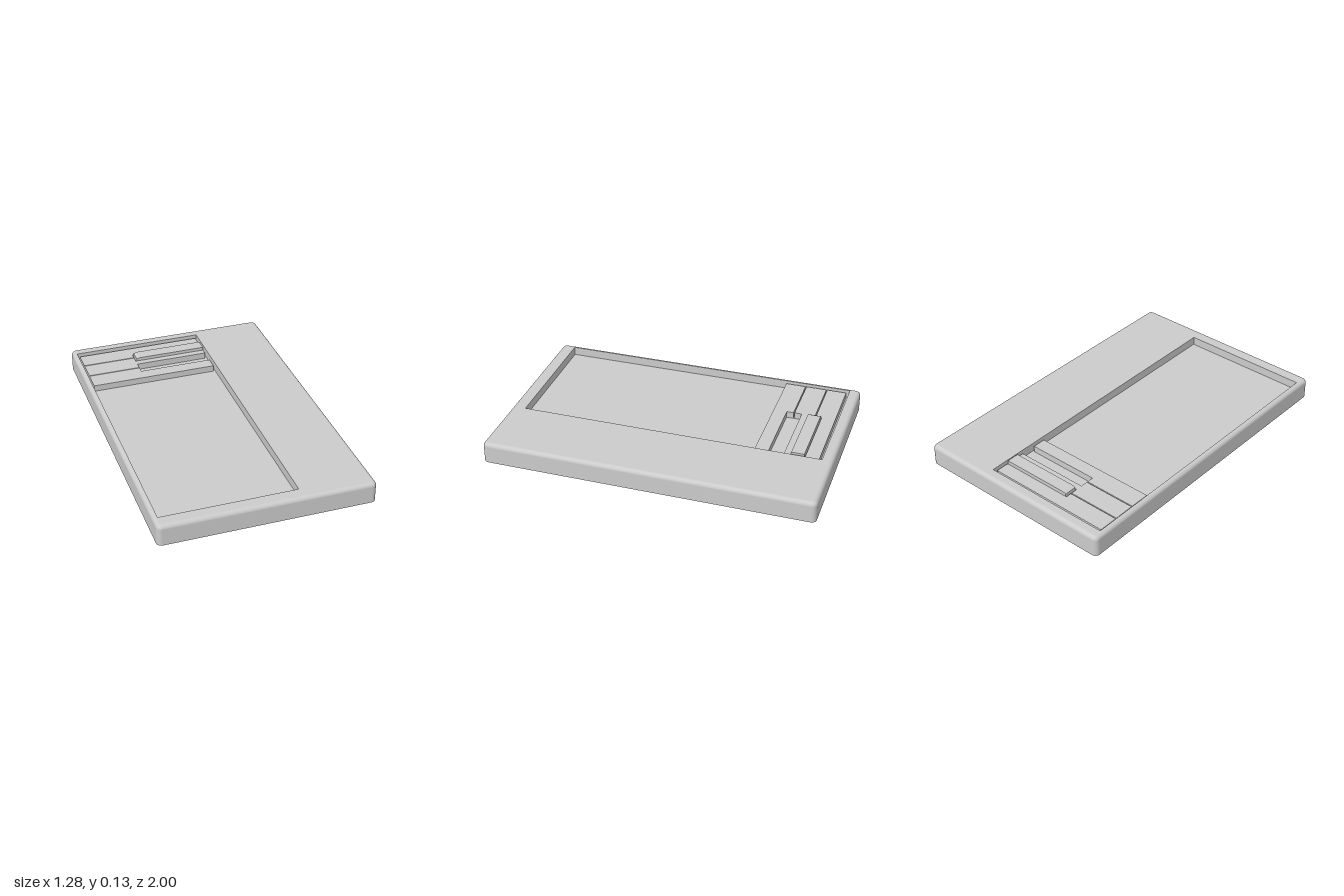
import * as THREE from 'three';

const W = 0.64, D = 1, TOP = 0.128, CORNER = 0.03, FILLET = 0.025;
const FLOOR = 0.075, CARD_TOP = 0.115;
const HOLE = { x0: -0.612, x1: 0.2, z0: -0.933, z1: 0.915 };
const material = new THREE.MeshStandardMaterial({ color: 0xcccccc });

function add(group, name, geometry) {
  const mesh = new THREE.Mesh(geometry, material);
  mesh.name = name;
  group.add(mesh);
  return mesh;
}

// Rounded rectangle as [x, z, nx, nz], pulled inwards by inset
function outline(inset) {
  const points = [], r = CORNER - inset, steps = 6;
  const corners = [[1, 1], [-1, 1], [-1, -1], [1, -1]];
  corners.forEach(([sx, sz], c) => {
    for (let i = 0; i <= steps; i++) {
      const a = (c + i / steps) * Math.PI / 2;
      const nx = Math.cos(a), nz = Math.sin(a);
      points.push([sx * (W - CORNER) + r * nx, sz * (D - CORNER) + r * nz, nx, nz]);
    }
  });
  return points;
}

// Outer side wall with a filleted top edge
function sideGeometry() {
  const rings = [{ inset: 0, y: 0, a: 0 }], steps = 6;
  for (let i = 0; i <= steps; i++) {
    const a = (i / steps) * Math.PI / 2;
    rings.push({ inset: FILLET * (1 - Math.cos(a)), y: TOP - FILLET * (1 - Math.sin(a)), a });
  }
  const positions = [], normals = [], index = [];
  let n = 0;
  rings.forEach(({ inset, y, a }, k) => {
    const loop = outline(inset);
    n = loop.length;
    loop.forEach(([x, z, nx, nz], i) => {
      positions.push(x, y, z);
      normals.push(nx * Math.cos(a), Math.sin(a), nz * Math.cos(a));
      if (k === 0) return;
      const j = (i + 1) % n, lo = (k - 1) * n, hi = k * n;
      index.push(lo + i, hi + i, lo + j, hi + i, hi + j, lo + j);
    });
  });
  const g = new THREE.BufferGeometry();
  g.setAttribute('position', new THREE.Float32BufferAttribute(positions, 3));
  g.setAttribute('normal', new THREE.Float32BufferAttribute(normals, 3));
  g.setIndex(index);
  return g;
}

// Shape from [x, z] points, drawn in the ground plane
const planShape = pts => new THREE.Shape(pts.map(([x, z]) => new THREE.Vector2(x, -z)));

function slab(pts, y0, y1) {
  return new THREE.ExtrudeGeometry(planShape(pts), { depth: y1 - y0, bevelEnabled: false })
    .rotateX(-Math.PI / 2).translate(0, y0, 0);
}

export function createModel() {
  const model = new THREE.Group();
  model.name = 'tray';

  const body = new THREE.Group();
  body.name = 'body';
  model.add(body);
  add(body, 'sides', sideGeometry());
  add(body, 'base', new THREE.ShapeGeometry(planShape(outline(0))).rotateX(Math.PI / 2));

  // Top face with the recess cut out of it
  const { x0, x1, z0, z1 } = HOLE;
  const rim = planShape(outline(FILLET));
  rim.holes.push(planShape([[x0, z0], [x1, z0], [x1, z1], [x0, z1]]));
  add(body, 'rim', new THREE.ShapeGeometry(rim).rotateX(-Math.PI / 2).translate(0, TOP, 0));

  // Recess floor and its four inward-facing walls
  const cx = (x0 + x1) / 2, cz = (z0 + z1) / 2, w = x1 - x0, d = z1 - z0;
  add(body, 'recessFloor', new THREE.PlaneGeometry(w, d).rotateX(-Math.PI / 2).translate(cx, FLOOR, cz));
  [[w, 0, cx, z0], [d, Math.PI / 2, x0, cz], [w, Math.PI, cx, z1], [d, -Math.PI / 2, x1, cz]]
    .forEach(([length, turn, x, z]) => {
      add(body, 'recessWall', new THREE.PlaneGeometry(length, TOP - FLOOR)
        .rotateY(turn).translate(x, (TOP + FLOOR) / 2, z));
    });

  // Three strips, each stepping to a narrower arm on the right
  const L = -0.6, S = -0.27, R = 0.188, gap = 0.003;
  const strips = [
    ['backStrip', -0.913, -0.79 - gap, -0.913, -0.83],
    ['middleStrip', -0.79 + gap, -0.657 - gap, -0.745, -0.705],
    ['frontStrip', -0.657 + gap, -0.53, -0.612, -0.53],
  ];
  for (const [name, a, b, armA, armB] of strips) {
    add(model, name, slab(
      [[L, a], [S, a], [S, armA], [R, armA], [R, armB], [S, armB], [S, b], [L, b]]
        .filter((p, i, all) => i === 0 || p[0] !== all[i - 1][0] || p[1] !== all[i - 1][1]),
      FLOOR, CARD_TOP));
  }

  // Raised bar lying in the back slot, chamfered at its left end
  const profile = new THREE.Shape([[-0.262, FLOOR], [R, FLOOR], [R, 0.134], [-0.245, 0.134], [-0.262, 0.127]]
    .map(([x, y]) => new THREE.Vector2(x, y)));
  add(model, 'slidingBar', new THREE.ExtrudeGeometry(profile, { depth: 0.078, bevelEnabled: false })
    .translate(0, 0, -0.826));

  return model;
}
